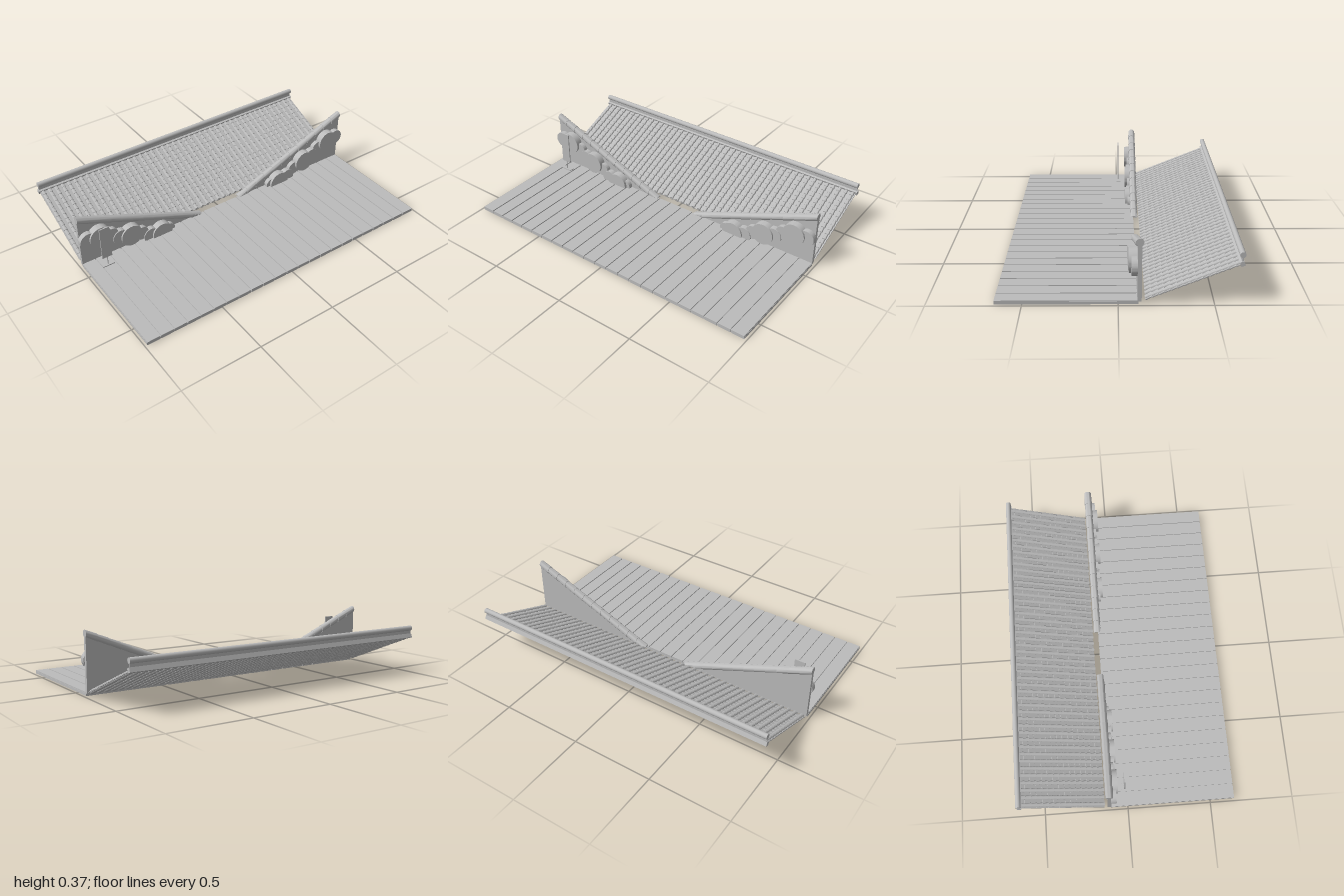
import * as THREE from 'three';
import { mergeGeometries, toCreasedNormals } from 'three/addons/utils/BufferGeometryUtils.js';

const grey = new THREE.MeshStandardMaterial({ color: 0xbcbcbc });
grey.name = 'plain grey';

function add(group, name, geometry, x = 0, y = 0, z = 0) {
  const mesh = new THREE.Mesh(geometry, grey);
  mesh.name = name;
  mesh.position.set(x, y, z);
  group.add(mesh);
  return mesh;
}

// Closed rod of overlapping tapered tiles, standing along +y from 0 to length
function tileRod(length, count, rWide, rNarrow, sides) {
  const pts = [new THREE.Vector2(0, 0)];
  for (let i = 0; i < count; i++) {
    pts.push(new THREE.Vector2(rWide, (i / count) * length));
    pts.push(new THREE.Vector2(rNarrow, ((i + 1) / count) * length));
  }
  pts.push(new THREE.Vector2(0, length));
  return toCreasedNormals(new THREE.LatheGeometry(pts, sides), 0.8);
}

function buildDeck() {
  const deck = new THREE.Group();
  deck.name = 'deck';
  const count = 23, pitch = 1.975 / count, depth = 0.75, zMid = 0.27;
  add(deck, 'deckCore', new THREE.BoxGeometry(1.97, 0.014, depth - 0.004), 0, 0.008, zMid);
  for (let i = 0; i < count; i++) {
    const x = (i - (count - 1) / 2) * pitch;
    add(deck, 'plank', new THREE.BoxGeometry(pitch - 0.008, 0.022, depth), x, 0.011, zMid);
  }
  return deck;
}

function buildWall(side) {
  const wall = new THREE.Group();
  wall.name = side > 0 ? 'leftWall' : 'rightWall';

  // Triangular panel
  const shape = new THREE.Shape();
  shape.moveTo(side * 0.985, 0.015);
  shape.lineTo(side * 0.985, 0.345);
  shape.lineTo(side * 0.19, 0.02);
  shape.lineTo(side * 0.19, 0.015);
  add(wall, 'wallPanel', new THREE.ExtrudeGeometry(shape, { depth: 0.022, bevelEnabled: false }), 0, 0, -0.122);

  // Tiled coping, sheared to the slope and trimmed flat at deck level
  const coping = tileRod(0.84, 12, 0.024, 0.0215, 20);
  coping.rotateZ(side > 0 ? -Math.PI / 2 : Math.PI / 2);
  coping.translate(side * 0.145, 0, 0);
  const p = coping.attributes.position;
  for (let i = 0; i < p.count; i++) {
    const y = p.getY(i) + 0.349 - 0.41 * (0.985 - Math.abs(p.getX(i)));
    p.setY(i, Math.max(y, 0.02));
  }
  coping.computeVertexNormals();
  add(wall, 'coping', toCreasedNormals(coping, 0.8), 0, 0, -0.11);

  // Cloud relief: large discs in front, smaller ones behind [x, y, radius, front z]
  const discs = [
    [0.865, 0.2, 0.07, -0.056], [0.665, 0.115, 0.07, -0.056], [0.455, 0.035, 0.068, -0.056],
    [0.94, 0.2, 0.052, -0.068], [0.79, 0.17, 0.045, -0.072], [0.735, 0.13, 0.05, -0.066],
    [0.59, 0.085, 0.045, -0.072], [0.53, 0.045, 0.05, -0.066], [0.4, 0.03, 0.04, -0.072],
  ];
  for (const [x, y, r, front] of discs) {
    // Low discs are cut off by the deck
    const cloud = new THREE.Shape();
    const low = (0.02 - y) / r;
    const a = low > -1 ? Math.asin(low) : -Math.PI / 2;
    cloud.absarc(0, 0, r, a, Math.PI - a, false);
    cloud.closePath();
    const g = new THREE.ExtrudeGeometry(cloud, { depth: front + 0.102, bevelEnabled: false, curveSegments: 28 });
    add(wall, 'cloudDisc', toCreasedNormals(g, 0.6), side * x, y, -0.102);
  }
  return wall;
}

function buildRoof() {
  const roof = new THREE.Group();
  roof.name = 'roof';
  const z0 = -0.142, y0 = 0.029, dz = -0.49, dy = 0.2;
  const length = Math.hypot(dz, dy);

  // Sloping tile field, built along +y and then laid back
  const field = new THREE.Group();
  field.name = 'tileField';
  field.position.set(0, y0, z0);
  field.rotation.x = -Math.atan2(-dz, dy);
  const count = 46, pitch = 1.975 / count, rolls = [], pans = [];
  for (let i = 0; i < count; i++) {
    const x = (i - (count - 1) / 2) * pitch;
    rolls.push(tileRod(length, 15, 0.0135, 0.0105, 10).translate(x, 0, 0));
  }
  for (let j = 0; j < 15; j++) {
    const step = length / 15;
    const pan = new THREE.BoxGeometry(1.97, step * 1.08, 0.005);
    pan.rotateX(0.08);
    pan.translate(0, (j + 0.5) * step, 0);
    pans.push(pan);
  }
  add(field, 'rollTiles', mergeGeometries(rolls));
  add(field, 'panTiles', mergeGeometries(pans));
  roof.add(field);

  // Ridge: base beam, web and round cap
  const beam = add(roof, 'ridgeBeam', new THREE.BoxGeometry(1.985, 0.026, 0.024), 0, 0.232, -0.633);
  beam.rotation.x = 0.38;
  add(roof, 'ridgeWeb', new THREE.BoxGeometry(1.975, 0.04, 0.008), 0, 0.256, -0.633);
  const cap = new THREE.CylinderGeometry(0.016, 0.016, 1.98, 20).rotateZ(Math.PI / 2);
  add(roof, 'ridgeCap', cap, 0, 0.281, -0.633);
  return roof;
}

function buildSign() {
  const sign = new THREE.Group();
  sign.name = 'signStand';
  sign.position.set(-0.862, 0, -0.013);
  add(sign, 'signPanel', new THREE.BoxGeometry(0.064, 0.215, 0.007), 0, 0.19, 0);
  add(sign, 'signPost', new THREE.CylinderGeometry(0.003, 0.003, 0.08, 10), 0, 0.06, 0);
  add(sign, 'signFoot', new THREE.BoxGeometry(0.074, 0.007, 0.03), 0, 0.0245, -0.002);
  return sign;
}

export function createModel() {
  const model = new THREE.Group();
  model.name = 'terraceWithTiledRoof';
  model.add(buildDeck(), buildWall(1), buildWall(-1), buildRoof(), buildSign());
  return model;
}
